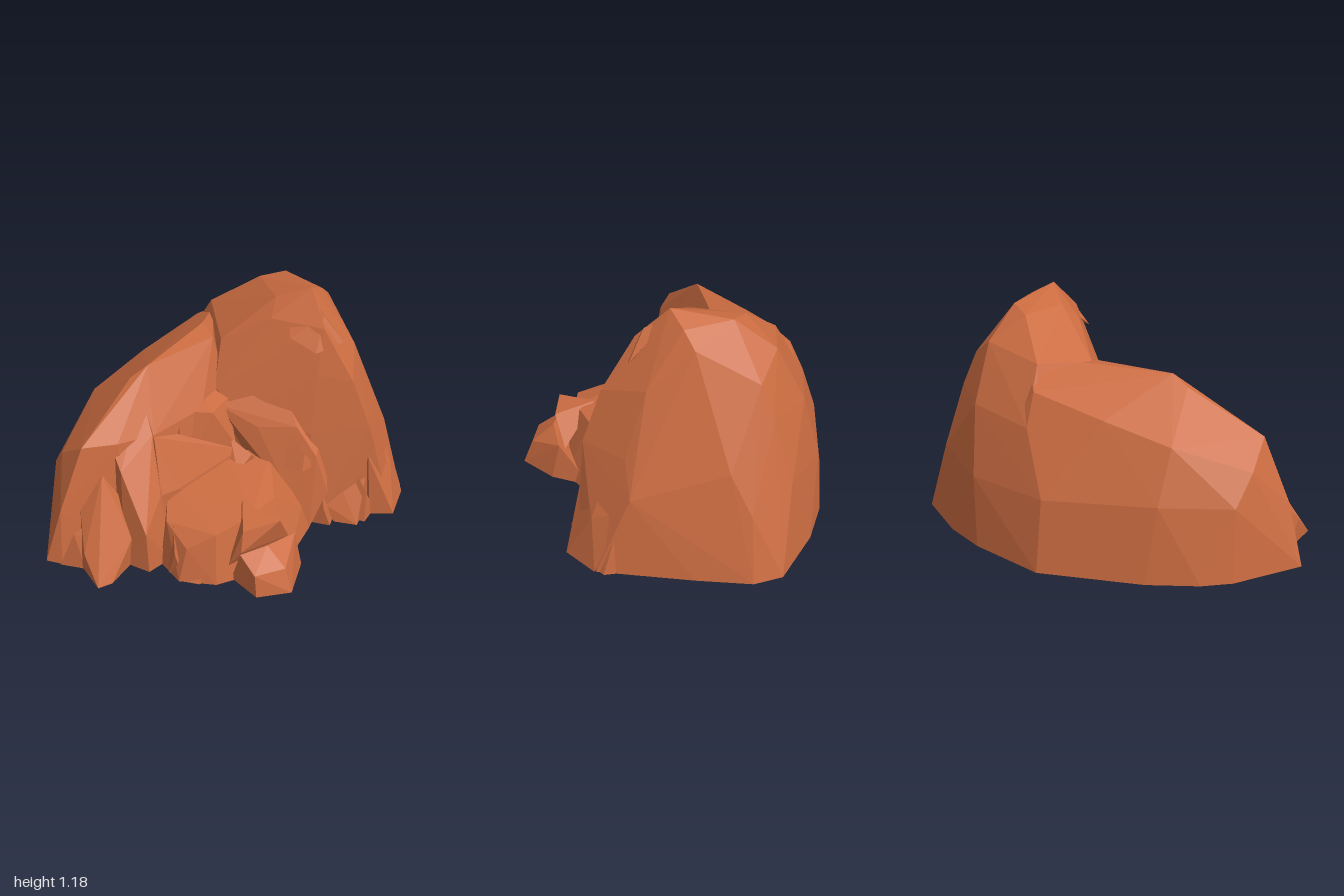
import * as THREE from 'three';
import { ConvexGeometry } from 'three/addons/geometries/ConvexGeometry.js';

const rock = new THREE.MeshStandardMaterial({ color: 0xcb6c41, flatShading: true });
rock.name = 'red sandstone';

// Faceted boulder wrapped around a few corner points
function hull(name, pts) {
  const mesh = new THREE.Mesh(new ConvexGeometry(pts.map(p => new THREE.Vector3(...p))), rock);
  mesh.name = name;
  return mesh;
}

let seed = 11;
function rand() {
  seed = (seed * 16807) % 2147483647;
  return seed / 2147483647;
}

// Jagged stone leaning back into the rock: uneven foot, one shoulder and a tip
function shard(x, y, z, rx, ry, rz) {
  const pts = [];
  for (let i = 0; i < 5; i++) {
    const a = (i + 0.7 * rand()) * Math.PI * 0.4;
    const k = 0.75 + 0.25 * rand();
    pts.push([x + Math.cos(a) * rx * k, y, z + Math.sin(a) * rz * k]);
  }
  pts.push([x + rx * (rand() - 0.5), y + ry * 0.55, z + rz * 0.55]);
  pts.push([x + rx * (rand() - 0.5) * 1.4, y + ry, z - rz * 0.6]);
  return hull('looseStone', pts);
}

export function createModel() {
  const group = new THREE.Group();
  group.name = 'rockFormation';

  // Tall dome on the left
  group.add(hull('tallPeak', [
    [0, 0, -0.79], [0.42, 0, -0.74], [0.65, 0, -0.67], [0.95, 0, -0.51], [1, 0, -0.37], [0.97, 0, -0.1],
    [0.9, 0, 0.36], [0.76, 0, 0.46], [0.34, 0, 0.36], [0.14, 0, 0.1],
    [0, 0.36, -0.74], [0.45, 0.36, -0.71], [0.78, 0.4, -0.55], [0.92, 0.32, -0.36], [0.87, 0.38, 0.2],
    [0.15, 0.66, -0.65], [0.5, 0.7, -0.62], [0.72, 0.72, -0.46],
    [0.87, 0.52, -0.26], [0.82, 0.56, 0], [0.78, 0.55, 0.22], [0.62, 0.55, 0.42], [0.36, 0.5, 0.28], [0.1, 0.55, 0.02],
    [0.56, 0.79, 0.33], [0.42, 0.8, 0.22], [0.7, 0.86, 0.12], [0.73, 0.86, -0.2], [0.68, 0.88, -0.4],
    [0.1, 0.88, -0.2], [0.02, 0.66, -0.12], [0.2, 0.93, -0.5], [0.52, 0.98, -0.48],
    [0.48, 1.03, 0.17], [0.67, 1.05, -0.1], [0.24, 1, -0.15], [0.3, 1.03, -0.04],
    [0.36, 1.11, -0.1], [0.5, 1.18, 0.01], [0.6, 1.12, -0.05], [0.52, 1.13, -0.28], [0.4, 1.1, -0.34],
  ]));

  // Lower hump on the right, its top sloping down to the back
  group.add(hull('lowHump', [
    [-1, 0, 0], [-0.82, 0, -0.34], [-0.71, 0, -0.45], [-0.49, 0, -0.59], [0, 0, -0.79], [0.42, 0, -0.74],
    [0.2, 0, 0], [-0.3, 0, 0.1], [-0.6, 0, 0.16], [-0.94, 0, 0.06],
    [-0.91, 0.3, 0.02], [-0.8, 0.36, -0.3], [-0.52, 0.38, -0.53], [0, 0.36, -0.74], [0.45, 0.36, -0.71], [0.15, 0.66, -0.65],
    [-0.81, 0.5, -0.17], [-0.77, 0.62, 0], [-0.52, 0.64, -0.42], [-0.2, 0.73, -0.51], [0.16, 0.82, -0.58],
    [-0.43, 0.84, -0.15], [-0.34, 0.89, -0.14], [0.06, 0.92, -0.33], [0.06, 0.9, -0.21], [0.22, 0.87, -0.52],
    [-0.6, 0.62, 0.05], [-0.1, 0.62, -0.03], [-0.4, 0.6, 0.04],
  ]));

  // Wall at the back of the hollow
  group.add(hull('hollowWall', [
    [-0.46, 0, 0.2], [-0.1, 0, 0.15], [0.1, 0, 0.12], [-0.44, 0.34, 0.19], [-0.34, 0.34, 0.18], [-0.15, 0.36, 0.1], [0.06, 0.38, 0.08],
    [-0.42, 0.62, 0.08], [-0.28, 0.58, 0.06], [-0.4, 0.3, -0.1], [0.05, 0.3, -0.1], [-0.4, 0, -0.1], [0.2, 0, -0.1],
  ]));

  // Standing buttress and pointed spur at the right end
  group.add(hull('buttress', [
    [-0.66, 0, 0.2], [-0.58, 0, 0.32], [-0.44, 0, 0.28], [-0.36, 0, 0], [-0.58, 0.22, 0.3], [-0.45, 0.35, 0.2],
    [-0.62, 0.5, 0.12], [-0.42, 0.62, 0.06], [-0.4, 0.78, -0.1], [-0.62, 0.6, 0], [-0.36, 0.4, 0.1],
  ]));
  group.add(hull('sideSpur', [
    [-0.86, 0.02, 0.33], [-0.78, 0.01, 0.32], [-0.87, 0.14, 0.2], [-0.6, 0.3, 0.12], [-0.62, 0.16, 0.22],
    [-0.86, 0, 0.12], [-0.6, 0, 0.2], [-0.82, 0.3, 0.06], [-0.7, 0.48, 0.07],
  ]));
  group.add(hull('sideFoot', [
    [-0.95, 0, 0.06], [-0.85, 0, 0.15], [-0.62, 0, 0.22], [-0.88, 0.2, 0.1], [-0.7, 0.3, 0.12], [-0.6, 0, 0],
  ]));

  // Low shelf and stepped lip in front of the hollow
  group.add(hull('frontShelf', [
    [-0.5, 0, 0.28], [-0.48, 0, 0.45], [-0.33, 0, 0.56], [-0.22, 0, 0.57], [0.1, 0, 0.55], [0.3, 0, 0.4], [0.34, 0, 0.1],
    [-0.46, 0.25, 0.28], [-0.43, 0.18, 0.44], [-0.3, 0.26, 0.5], [-0.1, 0.31, 0.5], [0.07, 0.3, 0.42],
    [-0.36, 0.33, 0.1], [0, 0.37, 0], [0.2, 0.35, 0.15], [0.26, 0.14, 0.38],
  ]));
  group.add(hull('frontLip', [
    [-0.2, 0, 0.73], [-0.03, 0, 0.78], [0.12, 0, 0.62], [0.2, 0, 0.42], [-0.24, 0, 0.55],
    [-0.2, 0.12, 0.71], [-0.04, 0.12, 0.73], [0.1, 0.18, 0.58], [-0.22, 0.18, 0.6], [-0.08, 0.2, 0.62],
  ]));
  group.add(hull('shelfKnob', [
    [-0.26, 0.1, 0.56], [-0.2, 0.31, 0.59], [0, 0.31, 0.6], [0.08, 0.15, 0.55], [-0.1, 0.33, 0.4], [-0.22, 0.2, 0.61],
  ]));

  // Crags up the inner edge of the tall peak
  group.add(hull('innerCrag', [
    [0.12, 0.3, 0.05], [0.14, 0.52, 0.12], [0.3, 0.54, 0.24], [0.36, 0.4, 0.34], [0.22, 0.2, 0.3],
    [0.3, 0.7, 0.1], [0, 0.6, -0.05], [0.4, 0.2, 0.4], [0.3, 0, 0.4], [0.5, 0.5, 0.2],
  ]));
  group.add(hull('hollowLedge', [
    [-0.18, 0.42, 0.03], [-0.07, 0.62, 0.03], [-0.18, 0.62, -0.04], [0.06, 0.62, -0.05], [0.05, 0.4, 0.06], [-0.05, 0.7, -0.2],
  ]));
  group.add(hull('summitLedge', [
    [0.34, 0.97, 0.08], [0.5, 1.08, 0.13], [0.58, 0.94, 0.2], [0.42, 0.92, 0.2], [0.5, 1.14, 0], [0.38, 1.05, 0],
  ]));

  // Broken foot of the tall peak
  group.add(hull('frontFoot', [
    [0.44, 0, 0.42], [0.53, 0, 0.5], [0.6, 0, 0.44], [0.5, 0.16, 0.4], [0.62, 0.24, 0.42], [0.4, 0.1, 0.36], [0.6, 0.1, 0.3],
  ]));
  group.add(hull('cornerFoot', [
    [0.64, 0, 0.45], [0.75, 0, 0.51], [0.9, 0, 0.37], [0.69, 0.18, 0.46], [0.8, 0.24, 0.38],
    [0.72, 0.46, 0.3], [0.86, 0.3, 0.24], [0.6, 0.2, 0.3], [0.62, 0.36, 0.43],
  ]));

  // Smaller stones along the foot and inside the hollow
  const stones = [
    [0.4, 0, 0.36, 0.1, 0.2, 0.1], [0.6, 0, 0.42, 0.1, 0.3, 0.08], [0.85, 0, 0.3, 0.08, 0.3, 0.1],
    [-0.36, 0, 0.45, 0.12, 0.24, 0.1], [-0.45, 0, 0.36, 0.06, 0.26, 0.09], [0.3, 0.34, 0.28, 0.1, 0.16, 0.08],
    [-0.26, 0.3, 0.06, 0.12, 0.28, 0.08], [0.22, 0.6, 0.03, 0.1, 0.1, 0.08], [0.05, 0.32, 0.1, 0.12, 0.12, 0.1],
  ];
  stones.forEach(s => group.add(shard(...s)));

  return group;
}
